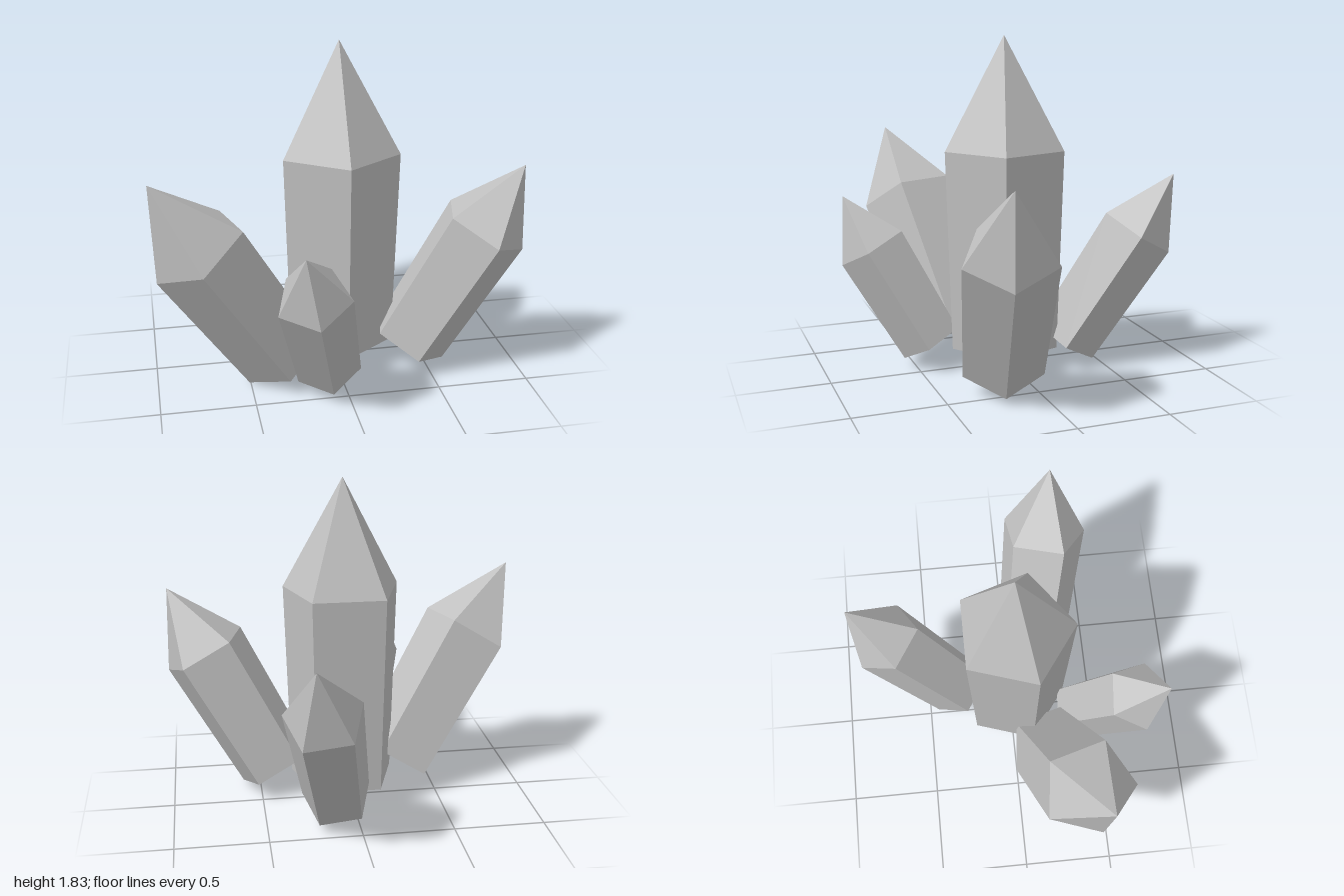
import * as THREE from 'three';

// Five-sided crystals: base centre, shoulder centre, apex, and one shoulder corner that sets radius and twist
const CRYSTALS = [
  { name: 'mainCrystal', base: [0.035, 0.12, 0.025], shoulder: [0.035, 1.22, 0.025], apex: [0.035, 1.83, 0.025], corner: [0.035, 1.22, 0.36] },
  { name: 'rightCrystal', base: [-0.31, 0.13, 0.2], shoulder: [-0.763, 0.844, 0.349], apex: [-1, 1.23, 0.43], corner: [-0.985, 0.7, 0.41] },
  { name: 'leftCrystal', base: [0.41, 0.135, 0.17], shoulder: [0.789, 0.822, 0.265], apex: [0.99, 1.18, 0.32], corner: [1, 0.7, 0.32] },
  { name: 'frontCrystal', base: [-0.098, 0.137, 0.408], shoulder: [-0.223, 0.677, 0.7], apex: [-0.285, 0.955, 0.85], corner: [-0.22, 0.58, 0.875] },
  { name: 'backCrystal', base: [0.115, 0.135, -0.305], shoulder: [0.232, 0.752, -0.685], apex: [0.285, 1.07, -0.88], corner: [0.235, 0.865, -0.5] },
];
const TAPER = 0.9; // base radius relative to shoulder radius

function makeCrystal({ name, base, shoulder, apex, corner }, material) {
  const [b, s, a, c] = [base, shoulder, apex, corner].map((p) => new THREE.Vector3(...p));
  const radius = c.distanceTo(s);
  const body = s.distanceTo(b);
  const tip = a.distanceTo(s);

  // Closed base, slightly flaring shaft and pointed tip in one pentagonal turn
  const geometry = new THREE.LatheGeometry([
    new THREE.Vector2(0, 0),
    new THREE.Vector2(radius * TAPER, 0),
    new THREE.Vector2(radius, body),
    new THREE.Vector2(0, body + tip),
  ], 5);

  // Local y follows the crystal's axis, local z points at the chosen corner
  const y = a.clone().sub(b).normalize();
  const x = y.clone().cross(c.sub(s)).normalize();
  const z = x.clone().cross(y);
  const mesh = new THREE.Mesh(geometry, material);
  mesh.quaternion.setFromRotationMatrix(new THREE.Matrix4().makeBasis(x, y, z));
  mesh.position.copy(b);
  mesh.name = name;
  return mesh;
}

export function createModel() {
  const group = new THREE.Group();
  group.name = 'crystalCluster';
  const material = new THREE.MeshStandardMaterial({ color: 0xc0c0c0, flatShading: true });
  material.name = 'paleGrey';
  for (const crystal of CRYSTALS) group.add(makeCrystal(crystal, material));
  return group;
}
